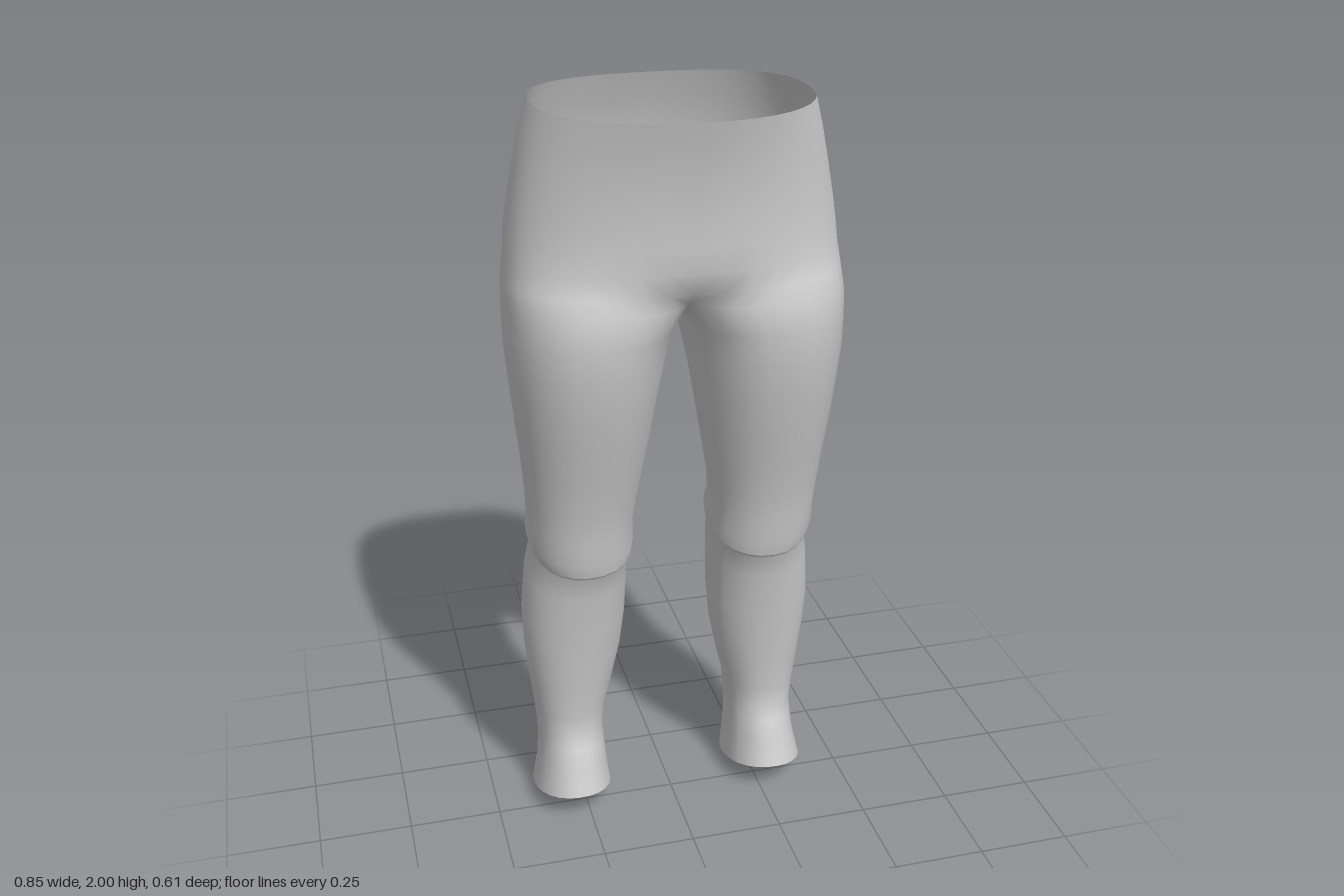
import * as THREE from 'three';
import { mergeVertices } from 'three/addons/utils/BufferGeometryUtils.js';

const M = 20; // segments around the outside of one half
const K = 8;  // segments along the inner leg
const rad = THREE.MathUtils.degToRad;
const lerp = THREE.MathUtils.lerp;
const power = (v, n) => Math.sign(v) * Math.abs(v) ** (2 / n);

// Half ring of the hips, from front centre round the side to back centre
function hipRow([y, rx, zb, zf, cz]) {
  const row = [];
  for (let j = 0; j <= M; j++) {
    const a = Math.PI * j / M, s = Math.sin(a), c = Math.cos(a);
    const n = c > 0 ? 2.25 : 2.6;
    const x = j === 0 || j === M ? 0 : rx * power(s, n);
    row.push([x, y, cz + (c > 0 ? zf - cz : cz - zb) * power(c, n)]);
  }
  return row;
}

// Closed ring of a leg; its height runs from yb at the back to yf at the front
function legRow([yf, yb, x0, x1, zb, zf], n = 2.2) {
  const row = [];
  for (let j = 0; j < M + K; j++) {
    const deg = j <= M ? lerp(-55, 235, j / M) : lerp(235, 305, (j - M) / K);
    const c = power(Math.cos(rad(deg)), n), s = power(Math.sin(rad(deg)), n);
    row.push([
      (x0 + x1) / 2 + (x1 - x0) / 2 * s,
      lerp(yb, yf, (c + 1) / 2),
      (zb + zf) / 2 + (zf - zb) / 2 * c,
    ]);
  }
  return row;
}

// Ring at the crotch, whose inner side lies on the centre line
function crotchRow(spec) {
  const row = legRow(spec, 2.3), start = row[0][0], x1 = spec[3];
  return row.map(([x, y, z], j) =>
    [j === 0 || j >= M ? 0 : Math.max(0, (x - start) / (x1 - start) * x1), y, z]);
}

const blend = (a, b, w) => a.map((p, j) => p.map((v, k) => lerp(v, b[j][k], w)));

// Skin of rows from top to bottom; half rows stay open, full rings close
function loft(rows, sides) {
  const pos = [], index = [];
  for (const side of sides) {
    const starts = rows.map((row) => {
      const start = pos.length / 3;
      row.forEach(([x, y, z]) => pos.push(x * side, y, z));
      return start;
    });
    for (let i = 0; i < rows.length - 1; i++) {
      const size = rows[i].length, closed = size === M + K;
      for (let j = 0; j < (closed ? size : M); j++) {
        const k = closed ? (j + 1) % size : j + 1;
        const a = starts[i] + j, b = starts[i] + k;
        const c = starts[i + 1] + j, d = starts[i + 1] + k;
        if (side > 0) index.push(a, c, b, b, c, d);
        else index.push(a, b, c, b, d, c);
      }
    }
  }
  const geo = new THREE.BufferGeometry();
  geo.setAttribute('position', new THREE.Float32BufferAttribute(pos, 3));
  geo.setIndex(index);
  const merged = mergeVertices(geo, 1e-4);
  merged.computeVertexNormals();
  return merged;
}

export function createModel() {
  const group = new THREE.Group();
  const material = new THREE.MeshStandardMaterial({ color: 0xcccccc, side: THREE.DoubleSide });
  const add = (name, geo) => {
    const mesh = new THREE.Mesh(geo, material);
    mesh.name = name;
    group.add(mesh);
  };

  // Hips: y, half width, back z, front z, z of widest point
  const hips = [
    [2.0, 0.337, -0.238, 0.307, 0.0],
    [1.93, 0.358, -0.265, 0.288, 0.0],
    [1.85, 0.376, -0.29, 0.272, 0.005],
    [1.76, 0.394, -0.306, 0.262, 0.01],
    [1.7, 0.404, -0.302, 0.262, 0.01],
  ].map(hipRow);
  const crotch = crotchRow([1.55, 1.49, 0, 0.423, -0.235, 0.27]);
  const crotchHalf = crotch.slice(0, M + 1);
  hips.push(
    blend(hipRow([1.65, 0.409, -0.296, 0.264, 0.015]), crotchHalf, 0.1),
    blend(hipRow([1.61, 0.416, -0.285, 0.268, 0.02]), crotchHalf, 0.35),
  );

  // Thighs: front y, back y, inner x, outer x, back z, front z
  const hem = [0.8, 0.885, 0.108, 0.378, -0.183, 0.132];
  const thighs = [
    [1.47, 1.44, 0.014, 0.424, -0.226, 0.271],
    [1.39, 1.38, 0.032, 0.422, -0.214, 0.264],
    [1.29, 1.29, 0.051, 0.414, -0.19, 0.243],
    [1.19, 1.19, 0.067, 0.405, -0.165, 0.218],
    [1.09, 1.09, 0.084, 0.395, -0.148, 0.19],
    [0.98, 1.0, 0.101, 0.387, -0.14, 0.162],
    [0.9, 0.94, 0.109, 0.384, -0.155, 0.148],
    [0.84, 0.905, 0.105, 0.386, -0.179, 0.142],
    hem,
  ].map((r) => legRow(r));
  add('hipsAndThighs', loft([...hips, crotch, ...thighs], [1, -1]));

  // Lower legs, from the step under the knee to the slanted ankle opening
  const shin = [
    hem,
    [0.785, 0.86, 0.115, 0.372, -0.186, 0.116],
    [0.72, 0.77, 0.118, 0.388, -0.2, 0.102],
    [0.6, 0.62, 0.122, 0.4, -0.202, 0.08],
    [0.5, 0.5, 0.134, 0.396, -0.202, 0.065],
    [0.4, 0.4, 0.155, 0.386, -0.2, 0.05],
    [0.31, 0.3, 0.178, 0.375, -0.198, 0.04],
    [0.245, 0.21, 0.186, 0.368, -0.197, 0.038],
    [0.215, 0.16, 0.186, 0.367, -0.198, 0.06],
    [0.16, 0.09, 0.182, 0.373, -0.204, 0.077],
    [0.088, 0.0, 0.174, 0.39, -0.214, 0.106],
  ].map((r) => legRow(r));
  add('leftLowerLeg', loft(shin, [1]));
  add('rightLowerLeg', loft(shin, [-1]));
  return group;
}
